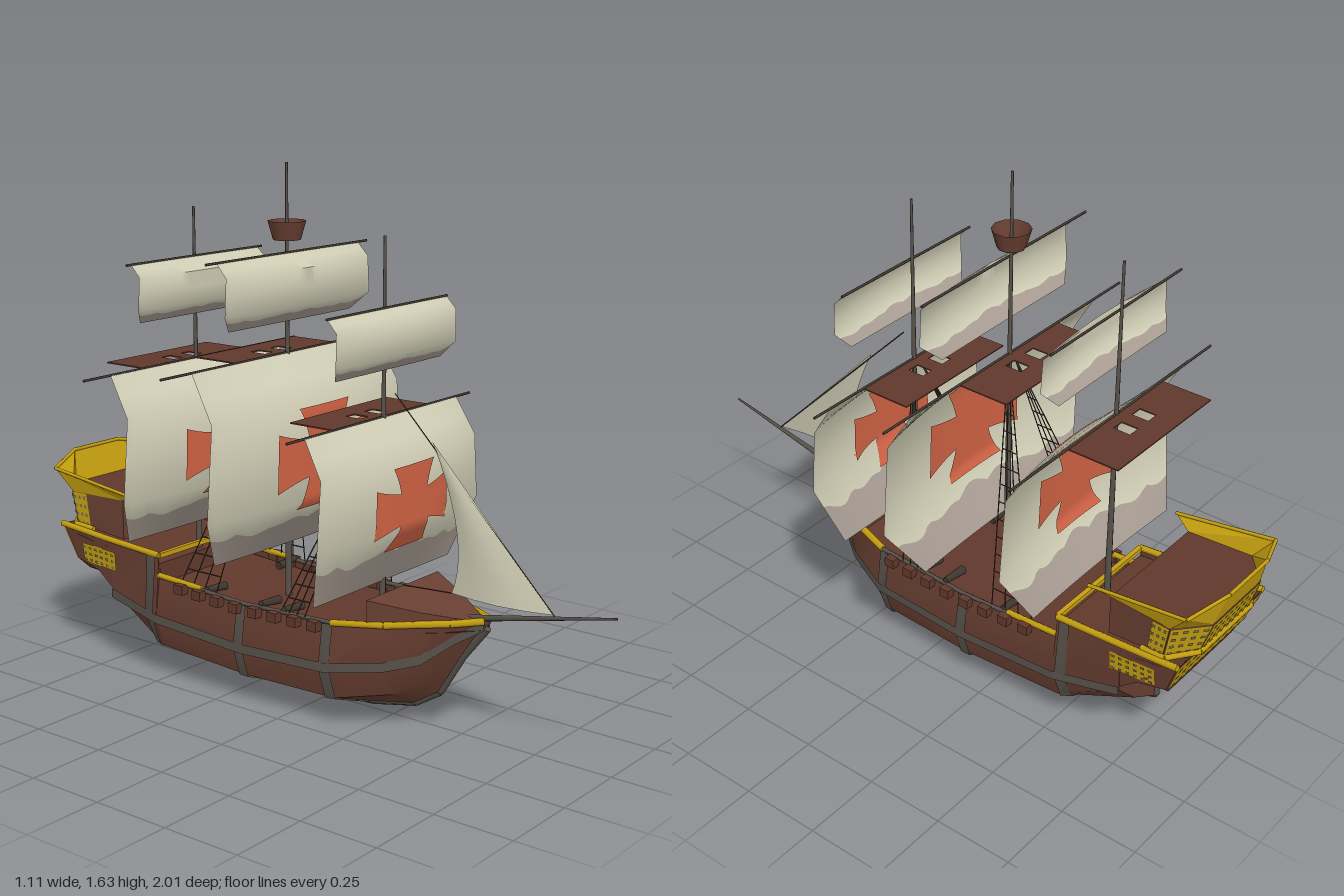
import * as THREE from 'three';
import { toCreasedNormals } from 'three/addons/utils/BufferGeometryUtils.js';

const mat = (name, color) => new THREE.MeshStandardMaterial({ name, color, side: THREE.DoubleSide });
const wood = mat('hull brown', 0x693f32);
const deckWood = mat('deck brown', 0x60382b);
const trim = mat('weathered grey', 0x57514a);
const spar = mat('dark spar', 0x40372f);
const gold = mat('gold paint', 0xc6a010);
const glass = mat('window grey', 0x747058);
const canvas = mat('cream canvas', 0xcfccb4);
const stain = mat('stained canvas', 0xa89c92);
const red = mat('red paint', 0xcf6244);

const V = (x, y, z) => new THREE.Vector3(x, y, z);
const lerp = THREE.MathUtils.lerp;

// Surface through rows of [x, y, z] points
function loft(rows, crease = 0.5) {
  const n = rows[0].length, index = [];
  for (let i = 0; i < rows.length - 1; i++)
    for (let j = 0; j < n - 1; j++) {
      const a = i * n + j, b = a + n;
      index.push(a, a + 1, b, a + 1, b + 1, b);
    }
  const g = new THREE.BufferGeometry();
  g.setAttribute('position', new THREE.Float32BufferAttribute(rows.flat(2), 3));
  g.setIndex(index);
  return toCreasedNormals(g, crease);
}

// Hull stations: z, keel y, bilge x y, side x y, top x y
const stations = [
  [0.58, 0.34, 0.005, 0.345, 0.01, 0.35, 0.015, 0.362],
  [0.50, 0.24, 0.02, 0.26, 0.045, 0.30, 0.07, 0.352],
  [0.42, 0.11, 0.05, 0.15, 0.10, 0.235, 0.115, 0.345],
  [0.33, 0.055, 0.11, 0.11, 0.16, 0.21, 0.16, 0.335],
  [0.17, 0.022, 0.19, 0.085, 0.225, 0.19, 0.205, 0.322],
  [-0.16, 0.01, 0.205, 0.085, 0.235, 0.18, 0.215, 0.315],
  [-0.51, 0.022, 0.20, 0.10, 0.235, 0.20, 0.215, 0.335],
  [-0.511, 0.022, 0.20, 0.10, 0.235, 0.20, 0.215, 0.40],
  [-0.73, 0.085, 0.12, 0.15, 0.205, 0.235, 0.22, 0.415],
  [-0.731, 0.21, 0.12, 0.215, 0.205, 0.25, 0.22, 0.415],
  [-0.79, 0.265, 0.15, 0.268, 0.21, 0.30, 0.222, 0.42],
  [-0.87, 0.28, 0.17, 0.283, 0.205, 0.32, 0.225, 0.435]];
const half = ([z, yk, xb, yb, xm, ym, xt, yt]) =>
  [[xt, yt, z], [xm, ym, z], [xb, yb, z], [0.012, yk, z]];
function section(z) {
  let i = 0;
  while (i < stations.length - 2 && stations[i + 1][0] > z) i++;
  const a = stations[i], b = stations[i + 1], t = (z - a[0]) / (b[0] - a[0]);
  return half(a.map((v, k) => lerp(v, b[k], t)));
}
const mirror = (p) => [-p[0], p[1], p[2]];

export function createModel() {
  const model = new THREE.Group();
  model.name = 'sailingShip';
  const add = (name, g, m, parent = model) => {
    const mesh = new THREE.Mesh(g, m);
    mesh.name = name;
    parent.add(mesh);
    return mesh;
  };
  const box = (name, w, h, d, x, y, z, m) => add(name, new THREE.BoxGeometry(w, h, d), m).position.set(x, y, z);
  // Round bar between two points
  const rod = (name, a, b, r0, r1, m, sides = 6) => {
    const d = b.clone().sub(a);
    const mesh = add(name, new THREE.CylinderGeometry(r1, r0, d.length(), sides), m);
    mesh.position.copy(a).addScaledVector(d, 0.5);
    mesh.quaternion.setFromUnitVectors(V(0, 1, 0), d.normalize());
  };
  const chain = (name, pts, r, m) => pts.slice(1).forEach((p, i) => rod(name, V(...pts[i]), V(...p), r, r, m));

  // Hull shell with raked transom
  const rings = stations.map((s) => { const h = half(s); return [...h, ...h.slice().reverse().map(mirror)]; });
  const last = rings[rings.length - 1];
  last.forEach((p) => { p[2] -= 0.375 * (p[1] - 0.28); });
  add('hull', loft(rings), wood);
  add('transom', loft([last.slice(0, 4), last.slice(4).reverse()]), wood);
  add('deck', loft(stations.map((s) => {
    const x = s[6] * 0.99, y = s[7] - 0.025;
    return [[x, y, s[0]], [-x, y, s[0]]];
  })), deckWood);
  add('quarterDeckEnd', loft([[[0.22, 0.41, -0.87], [-0.22, 0.41, -0.87]], [[0.225, 0.435, -0.93], [-0.225, 0.435, -0.93]]]), deckWood);

  // Sloping forecastle
  const castle = [[0.54, 0.03, 0.362], [0.42, 0.11, 0.382], [0.28, 0.18, 0.408]].map(([z, x, y]) =>
    [[x, 0.325, z], [x, y, z], [-x, y, z], [-x, 0.325, z]]);
  add('forecastle', loft(castle), wood);
  const [c0, c1, c2, c3] = castle[2];
  add('forecastleBulkhead', loft([[c0, c1], [c3, c2]]), wood);

  // Keel, ribs and wales
  chain('keel', stations.map((s) => [0, s[1], s[0]]).slice(0, 9), 0.014, trim);
  rod('sternPost', V(0, 0.085, -0.73), V(0, 0.21, -0.73), 0.012, 0.012, trim);
  for (const s of [1, -1]) {
    const out = (p, dy = 0) => [s * (p[0] + 0.006), p[1] - 0.003 + dy, p[2]];
    for (const z of [0.16, -0.165, -0.54]) {
      const a = section(z + 0.018), b = section(z - 0.018);
      add('rib', loft(a.map((p, i) => [out(p), out(b[i])])), trim);
    }
    add('wale', loft(stations.slice(0, 9).map((st) => {
      const p = half(st)[1];
      return [out(p, -0.012), out(p, 0.018)];
    })), trim);
    // Rails
    const tops = stations.map((st) => [s * st[6], st[7] + 0.002, st[0]]);
    chain('bowRail', tops.slice(0, 5), 0.011, gold);
    chain('waistRail', tops.slice(4, 6), 0.007, trim);
    const mid = section(-0.33)[0];
    chain('waistRail', [tops[5], [s * mid[0], mid[1], mid[2]]], 0.007, trim);
    chain('sternWaistRail', [[s * mid[0], mid[1] + 0.004, mid[2]], tops[6]], 0.01, gold);
    chain('quarterRail', [tops[7], tops[8], [s * 0.228, 0.437, -0.93]], 0.011, gold);
    // Gun ports along the side
    for (let i = 0; i < 8; i++) {
      const z = 0.12 - i * 0.075, p = section(z)[0];
      box('gunPort', 0.035, 0.03, 0.035, s * (p[0] + 0.012), p[1] - 0.012, z, deckWood);
    }
    // Deck guns
    for (const z of [0.0, -0.09, -0.31]) {
      rod('deckGun', V(s * 0.13, 0.322, z), V(s * 0.215, 0.33, z), 0.014, 0.01, spar, 8);
    }
  }
  box('quarterDeckBeam', 0.43, 0.015, 0.015, 0, 0.402, -0.511, gold);

  // Stern cabin: half outlines mirrored into a U shape
  const u = (pts) => [...pts, ...pts.slice().reverse().map(mirror)];
  const base = [[0.2, 0.42, -0.68], [0.21, 0.44, -0.87], [0.13, 0.44, -0.935]];
  const roof = [[0.2, 0.548, -0.68], [0.215, 0.548, -0.89], [0.125, 0.548, -0.97]];
  const lip = [[0.225, 0.575, -0.62], [0.235, 0.62, -0.95], [0.1, 0.65, -1.0]];
  add('cabinWalls', loft([u(base), u(roof)], 0.2), wood);
  add('cabinFront', loft([[base[0], mirror(base[0])], [roof[0], mirror(roof[0])]]), wood);
  add('cabinRoof', loft([roof, roof.map(mirror)]), deckWood);
  add('cabinBulwark', loft([u(roof), u(lip)], 0.2), gold);
  chain('cabinLip', u(lip), 0.006, gold);
  chain('cabinSill', u([[0.215, 0.437, -0.8], [0.218, 0.442, -0.88], [0.135, 0.445, -0.945]]), 0.009, gold);

  // Gold panels with rows of window panes, placed on a four-cornered wall
  function panel(name, a, b, c, d, rows, cols) {
    const [A, B, C, D] = [a, b, c, d].map((p) => V(...p));
    const n = B.clone().sub(A).cross(D.clone().sub(A)).normalize();
    const mid = A.clone().add(C).multiplyScalar(0.5).sub(V(0, 0.4, -0.72));
    if (n.dot(mid) < 0) n.negate();
    const at = (s, t, off) => A.clone().lerp(B, s).lerp(D.clone().lerp(C, s), t).addScaledVector(n, off).toArray();
    const quad = (s0, s1, t0, t1, off) => loft([[at(s0, t0, off), at(s1, t0, off)], [at(s0, t1, off), at(s1, t1, off)]]);
    add(name, quad(0, 1, 0, 1, 0.004), gold);
    for (let i = 0; i < rows; i++)
      for (let j = 0; j < cols; j++)
        add(name + 'Pane', quad((j + 0.25) / cols, (j + 0.75) / cols, (i + 0.3) / rows, (i + 0.7) / rows, 0.007), glass);
  }
  const mix = (p, q, t) => p.map((v, i) => lerp(v, q[i], t));
  for (const m of [(p) => p, mirror]) {
    const p0 = mix(base[0], base[1], 0.72), p1 = mix(roof[0], roof[1], 0.72);
    panel('cabinSidePanel', m(p0), m(base[1]), m(roof[1]), m(p1), 4, 3);
    panel('cabinCornerPanel', m(base[1]), m(base[2]), m(roof[2]), m(roof[1]), 4, 4);
    const a = section(-0.70), b = section(-0.85);
    panel('quarterPanel', m(mix(a[1], a[0], 0.45)), m(mix(b[1], b[0], 0.05)),
      m(mix(b[1], b[0], 0.6)), m(mix(a[1], a[0], 0.8)), 3, 6);
  }
  panel('cabinBackPanel', base[2], mirror(base[2]), mirror(roof[2]), roof[2], 4, 9);
  panel('transomPanel', last[1], mirror(last[1]), mirror(last[0]), last[0], 3, 12);

  // Square sail; f gives a point for u in -1..1 and v in 0..1
  function sail(name, o) {
    const { top, bottom, z, belly, foot, v0, v1, w } = o;
    const f = (uu, v, off = 0) => {
      const k = v < v0 ? lerp(foot, belly, v / v0) : v < v1 ? belly : belly * (1 - v) / (1 - v1);
      const hw = v < v0 ? lerp(w[2], w[1], v / v0) : lerp(w[1], w[0], (v - v0) / (1 - v0));
      return [uu * hw, lerp(bottom, top, v), z + k * (1 - 0.4 * uu * uu) + off];
    };
    const wave = (uu) => v0 * 0.72 * (0.78 + 0.22 * Math.abs(Math.sin(uu * 9 + 0.6)) * Math.cos(uu * 4) + 0.2 * uu * uu);
    const N = 36, low = [], high = [];
    for (let i = 0; i <= N; i++) {
      const uu = i / N * 2 - 1, e = wave(uu);
      low.push([f(uu, 0), f(uu, e)]);
      high.push([e, v0, (v0 + v1) / 2, v1, (v1 + 1) / 2, 1].map((v) => f(uu, v)));
    }
    add(name, loft(high, 1), canvas);
    add(name + 'StainedFoot', loft(low, 1), stain);
    if (!o.cross) return;
    // Flared cross painted on both faces
    const H = o.cross / (top - bottom), W = o.cross * 1.38 / w[1], flare = (t) => 0.34 + 0.24 * t * t;
    for (const off of [0.005, -0.005]) {
      const across = [], up = [];
      for (let i = 0; i <= 16; i++) {
        const t = i / 8 - 1, q = flare(t);
        across.push([-1, -0.33, 0.33, 1].map((s) => f(t * W, 0.5 + s * q * H, off)));
        up.push([-1, -0.33, 0.33, 1].map((s) => f(s * q * W, 0.5 + t * H, off)));
      }
      add(name + 'CrossBar', loft(across, 1), red);
      add(name + 'CrossPost', loft(up, 1), red);
    }
  }
  const masts = [
    { name: 'fore', z: 0.205, h: 1.44, yard: 0.91, span: 0.445, topYard: 1.235, topSpan: 0.29,
      course: { top: 0.91, bottom: 0.41, z: 0.208, belly: 0.107, foot: 0, v0: 0.38, v1: 0.78, w: [0.37, 0.397, 0.335], cross: 0.128 },
      topsail: { top: 1.235, bottom: 1.055, z: 0.222, belly: 0.056, foot: 0.004, v0: 0.25, v1: 0.8, w: [0.288, 0.292, 0.255] } },
    { name: 'main', z: -0.16, h: 1.63, yard: 1.06, span: 0.555, topYard: 1.365, topSpan: 0.375,
      course: { top: 1.06, bottom: 0.475, z: -0.158, belly: 0.143, foot: 0.03, v0: 0.27, v1: 0.76, w: [0.43, 0.468, 0.365], cross: 0.155 },
      topsail: { top: 1.365, bottom: 1.16, z: -0.147, belly: 0.064, foot: 0.005, v0: 0.25, v1: 0.8, w: [0.33, 0.34, 0.285] } },
    { name: 'mizzen', z: -0.537, h: 1.478, yard: 1.0, span: 0.49, topYard: 1.325, topSpan: 0.31,
      course: { top: 1.0, bottom: 0.475, z: -0.53, belly: 0.128, foot: 0.022, v0: 0.28, v1: 0.77, w: [0.385, 0.42, 0.34], cross: 0.14 },
      topsail: { top: 1.325, bottom: 1.145, z: -0.527, belly: 0.06, foot: 0.005, v0: 0.25, v1: 0.8, w: [0.29, 0.3, 0.26] } }];
  for (const m of masts) {
    rod(m.name + 'Mast', V(0, 0.28, m.z), V(0, m.h, m.z), 0.011, 0.004, trim, 8);
    rod(m.name + 'Yard', V(-m.span, m.yard, m.z), V(m.span, m.yard, m.z), 0.004, 0.004, spar);
    rod(m.name + 'TopYard', V(-m.topSpan, m.topYard, m.topsail.z), V(m.topSpan, m.topYard, m.topsail.z), 0.004, 0.004, spar);
    sail(m.name + 'Course', m.course);
    sail(m.name + 'Topsail', m.topsail);
    // Platform with two hatches behind the yard
    const rect = (P, x0, x1, y0, y1) => new P([[x0, y0], [x1, y0], [x1, y1], [x0, y1]].map((p) => new THREE.Vector2(...p)));
    const plate = rect(THREE.Shape, -0.23, 0.23, 0, 0.165);
    for (const x of [-0.045, 0.045]) plate.holes.push(rect(THREE.Path, x - 0.02, x + 0.02, 0.035, 0.09));
    const g = new THREE.ExtrudeGeometry(plate, { depth: 0.004, bevelEnabled: false });
    g.rotateX(-Math.PI / 2);
    add(m.name + 'Platform', g, deckWood).position.set(0, m.yard - 0.004, m.z);
  }

  // Crow's nest
  add('crowsNest', new THREE.CylinderGeometry(0.058, 0.042, 0.057, 10, 1, true), wood).position.set(0, 1.43, -0.16);
  add('crowsNestFloor', new THREE.CylinderGeometry(0.042, 0.042, 0.005, 10), wood).position.set(0, 1.404, -0.16);

  // Rope ladders
  for (const [y, z, feet] of [[0.91, 0.2, [0.08, 0.05, 0.02, -0.01]], [1.05, -0.165, [-0.27, -0.32, -0.37, -0.42]]])
    for (const s of [1, -1]) {
      const on = (foot, t) => V(s * lerp(0.215, 0.012, t), lerp(0.325, y, t), lerp(foot, z, t));
      for (const foot of feet) rod('shroud', on(foot, 0), on(foot, 1), 0.0022, 0.0022, spar, 4);
      for (let i = 1; i < 12; i++) rod('rung', on(feet[0], i / 14), on(feet[3], i / 14), 0.0022, 0.0022, spar, 4);
    }

  // Bowsprit, jib and its lines
  rod('bowsprit', V(0, 0.325, 0.36), V(0, 0.457, 1.0), 0.013, 0.003, trim, 8);
  const leech = new THREE.QuadraticBezierCurve(new THREE.Vector2(0.455, 0.42), new THREE.Vector2(0.52, 0.58), new THREE.Vector2(0.38, 0.86));
  const jib = [];
  for (let i = 0; i <= 10; i++) {
    const t = i / 10, q = leech.getPoint(t);
    jib.push([0, 0.25, 0.5, 0.75, 1].map((s) =>
      [-0.025 * Math.sin(Math.PI * s) * (1 - t), lerp(lerp(0.425, 0.86, t), q.y, s), lerp(lerp(0.8, 0.38, t), q.x, s)]));
  }
  add('jib', loft(jib, 1), canvas);
  rod('forestay', V(0, 0.42, 0.805), V(0, 0.985, 0.245), 0.002, 0.002, spar, 4);
  rod('jibSheet', V(0, 0.42, 0.455), V(0, 0.41, 0.28), 0.002, 0.002, spar, 4);
  return model;
}
